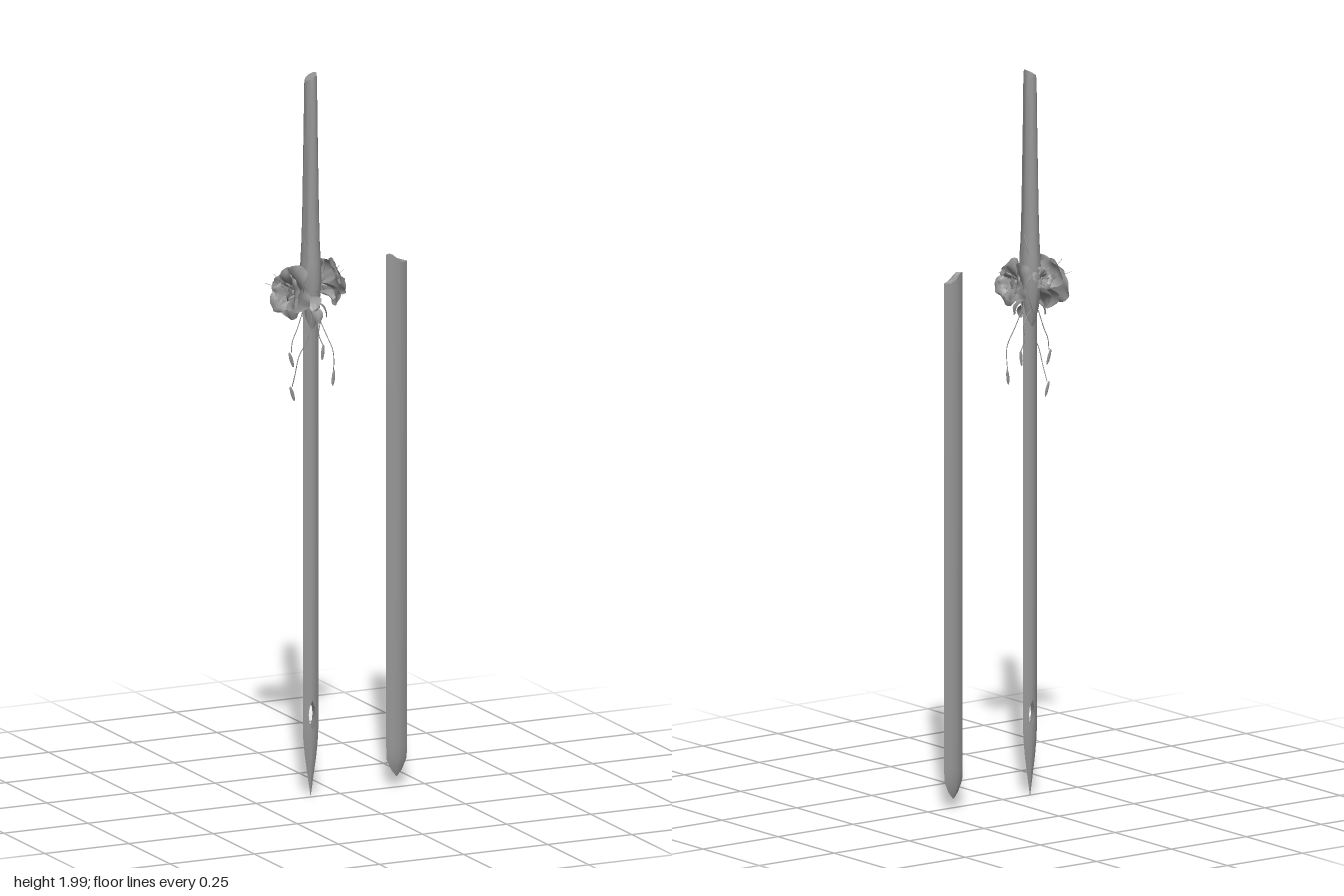
import * as THREE from 'three';
import { toCreasedNormals } from 'three/addons/utils/BufferGeometryUtils.js';

const mat = new THREE.MeshStandardMaterial({ color: 0x969696, side: THREE.DoubleSide });
const V = (x, y, z) => new THREE.Vector3(x, y, z);
const AX = -0.084, AZ = -0.009; // sword axis

function add(parent, name, geo) {
  const m = new THREE.Mesh(geo, mat);
  m.name = name;
  parent.add(m);
  return m;
}

// Skin a stack of closed rings running upwards; both ends capped, edges over 40 degrees kept sharp
function loft(rings) {
  const n = rings[0].length, pos = [], idx = [];
  rings.forEach(r => r.forEach(p => pos.push(p.x, p.y, p.z)));
  for (let i = 0; i < rings.length - 1; i++) for (let j = 0; j < n; j++) {
    const a = i * n + j, b = i * n + (j + 1) % n;
    idx.push(a, a + n, b, b, a + n, b + n);
  }
  [0, rings.length - 1].forEach(i => {
    const c = rings[i].reduce((s, p) => s.add(p), V(0, 0, 0)).divideScalar(n), k = pos.length / 3;
    pos.push(c.x, c.y, c.z);
    for (let j = 0; j < n; j++) {
      const a = i * n + j, b = i * n + (j + 1) % n;
      i ? idx.push(a, k, b) : idx.push(a, b, k);
    }
  });
  const g = new THREE.BufferGeometry();
  g.setAttribute('position', new THREE.Float32BufferAttribute(pos, 3));
  g.setIndex(idx);
  return toCreasedNormals(g, 0.7);
}

// Half of a lens-section blade: [height, half width, notch of the eye]
function bladeHalf(side) {
  const W = 0.023, T = 0.011, n = 5;
  const levels = [[0.01, 0.0003, 0], [0.06, 0.008, 0], [0.12, 0.017, 0], [0.17, 0.022, 0], [0.195, W, 0],
    [0.215, W, 0.008], [0.235, W, 0.01], [0.255, W, 0.008], [0.275, W, 0], [0.8, W, 0], [1.4, W, 0]];
  return loft(levels.map(([y, w, notch]) => {
    const face = dir => Array.from({ length: n + 1 }, (_, i) => {
      const x = notch + (w - notch) * i / n;
      return V(x * side, y, dir * T * (w / W) * (1 - (x / w) ** 2));
    });
    const points = [...face(1), ...face(-1).reverse().slice(1)];
    return side > 0 ? points.reverse() : points;
  }));
}

// Cupped petal growing out of the origin: reach along +z, height along +y
function petalGeometry(reach, height, width, curl) {
  const g = new THREE.PlaneGeometry(1, 1, 8, 8), p = g.attributes.position;
  for (let i = 0; i < p.count; i++) {
    const u = p.getX(i) * 2, t = p.getY(i) + 0.5;
    const w = width * (0.15 + 0.85 * Math.sin(Math.PI * 0.78 * t ** 0.9));
    const end = 1 - 0.2 * u * u * t; // rounded tip
    const ripple = 0.003 * t * t * Math.sin(u * 5 + reach * 90);
    p.setXYZ(i, u * w * 0.5,
      height * (Math.sin(t * 1.57) - curl * t ** 4) * end + 0.15 * width * u * u * t + ripple,
      reach * (t * t * 0.3 + t * 0.7) * end);
  }
  g.computeVertexNormals();
  return g;
}

function tube(points, r, seg) {
  return new THREE.TubeGeometry(new THREE.CatmullRomCurve3(points), seg, r, 5);
}

// Flower opening along +y: rings of petals, a heart and stamens
function flower(name, size, position, direction) {
  const f = new THREE.Group();
  f.name = name;
  const rings = [
    [5, 0.078, 0.042, 0.088, 0.35, 0], [5, 0.06, 0.062, 0.07, 0.1, 0.6], [4, 0.03, 0.066, 0.045, 0, 0.2]];
  rings.forEach(([n, reach, height, width, curl, turn], k) => {
    for (let i = 0; i < n; i++) {
      const v = 1 + 0.1 * Math.sin(i * 2.4 + k);
      const petal = add(f, 'petal', petalGeometry(reach * v, height * v, width, curl));
      petal.rotation.y = turn + i / n * Math.PI * 2;
    }
  });
  const heart = add(f, 'flowerHeart', new THREE.SphereGeometry(0.013, 10, 8));
  heart.position.y = 0.03;
  for (let i = 0; i < 6; i++) {
    const a = i * 2.4, r = 0.02 + 0.015 * (i % 3), c = Math.cos(a), s = Math.sin(a), h = 0.075 + 0.006 * (i % 3);
    add(f, 'stamen', tube([V(0, 0.02, 0), V(c * r * 0.4, 0.055, s * r * 0.4), V(c * r, h, s * r)], 0.0006, 8));
  }
  f.scale.setScalar(size);
  f.position.copy(position);
  f.quaternion.setFromUnitVectors(V(0, 1, 0), direction.normalize());
  return f;
}

export function createModel() {
  const model = new THREE.Group();

  // Sword blade
  const blade = new THREE.Group();
  blade.name = 'blade';
  blade.position.set(AX, 0, AZ);
  [1, -1].forEach(s => add(blade, 'bladeHalf', bladeHalf(s)));
  model.add(blade);

  // Handle: slim oval grip with a slanted top, swelling into the guard
  const grip = [[1.29, 0.008], [1.33, 0.018], [1.38, 0.025], [1.43, 0.029], [1.48, 0.027], [1.54, 0.024],
    [1.62, 0.022], [1.75, 0.02], [1.88, 0.018], [1.975, 0.017], [1.99, 0.0155]];
  add(model, 'handle', loft(grip.map(([y, r]) => Array.from({ length: 20 }, (_, i) => {
    const a = i / 20 * Math.PI * 2, c = Math.cos(a);
    return V(AX + c * r, y + (y > 1.95 ? c * 0.01 : 0), AZ + Math.sin(a) * r * 1.12);
  }))));

  // Vines winding over the foot of the handle
  for (let k = 0; k < 4; k++) {
    const pts = Array.from({ length: 9 }, (_, i) => {
      const t = i / 8, a = k * 1.57 + t * 3, r = 0.031 - 0.008 * t - 0.012 * (1 - t) ** 3;
      return V(AX + Math.cos(a) * r, 1.32 + t * 0.23, AZ + Math.sin(a) * r * 1.1);
    });
    add(model, 'vine', tube(pts, 0.002, 28));
  }

  // Two large flowers form the guard, with a small bud at the back
  model.add(
    flower('rightFlower', 1, V(-0.118, 1.405, 0), V(-1, 0.12, 0.25)),
    flower('leftFlower', 0.85, V(-0.058, 1.42, -0.008), V(1, 0.15, -0.05)),
    flower('backBud', 0.42, V(-0.09, 1.43, -0.042), V(-0.1, 0.3, -1)));

  // Loose petals around the guard: position, turn about y, tilt, size
  [[-0.095, 1.39, 0.01, -0.3, 0.5, 1], [-0.075, 1.4, 0.01, 0.4, 0.3, 0.9], [-0.09, 1.42, -0.02, 3.1, 0, 0.7],
    [-0.1, 1.39, -0.01, -1.2, 1.0, 1], [-0.07, 1.37, 0, 1.1, 1.2, 0.7], [-0.095, 1.37, -0.01, -2.3, 1.1, 0.75],
    [-0.08, 1.36, 0, 0.2, 1.3, 0.7]].forEach(([x, y, z, turn, tilt, s]) => {
    const petal = add(model, 'guardPetal', petalGeometry(0.07, 0.025, 0.05, 0.5));
    petal.position.set(x, y, z);
    petal.rotation.set(tilt, turn, 0, 'YXZ');
    petal.scale.setScalar(s);
  });

  // Hanging tendrils, each ending in a slim leaf
  [[V(-0.09, 1.34, 0.012), V(-0.105, 1.28, 0.02), V(-0.13, 1.23, 0.015), V(-0.134, 1.18, 0), V(-0.133, 1.14, -0.02)],
    [V(-0.075, 1.34, 0.012), V(-0.055, 1.29, 0.02), V(-0.037, 1.24, 0.03), V(-0.03, 1.2, 0.022), V(-0.028, 1.18, 0.015)],
    [V(-0.07, 1.34, -0.025), V(-0.045, 1.31, -0.033), V(-0.047, 1.27, -0.035), V(-0.035, 1.24, -0.035)],
    [V(-0.1, 1.34, -0.025), V(-0.115, 1.29, -0.03), V(-0.128, 1.26, -0.03), V(-0.13, 1.23, -0.032)]]
    .forEach(pts => {
      add(model, 'tendril', tube(pts, 0.0012, 24));
      const end = pts[pts.length - 1];
      const leaf = add(model, 'tendrilLeaf', new THREE.SphereGeometry(1, 8, 8));
      leaf.scale.set(0.005, 0.022, 0.002);
      leaf.position.set(end.x, end.y - 0.02, end.z);
      leaf.rotation.z = end.x < AX ? 0.3 : -0.1;
    });

  // Scabbard: lens section, pointed foot and a mouth that dips right of centre
  const section = [[1, 0], [0.5, 0.75], [0, 1], [-0.5, 0.75], [-1, 0], [-0.5, -0.75], [0, -1], [0.5, -0.75]];
  const mouth = u => 0.02 * (u - 0.5) ** 2 - 0.008 * u;
  const levels = [[0.038, 0.06], [0.055, 0.5], [0.085, 0.95], [0.12, 1], [1.455, 1]];
  add(model, 'scabbard', loft(levels.map(([y, s]) => section.map(([u, v]) =>
    V(0.172 + u * 0.031 * s, y + (y > 1 ? Math.min(0.02, mouth(u)) : 0), -0.0095 + v * 0.0125 * s)))));

  return model;
}
